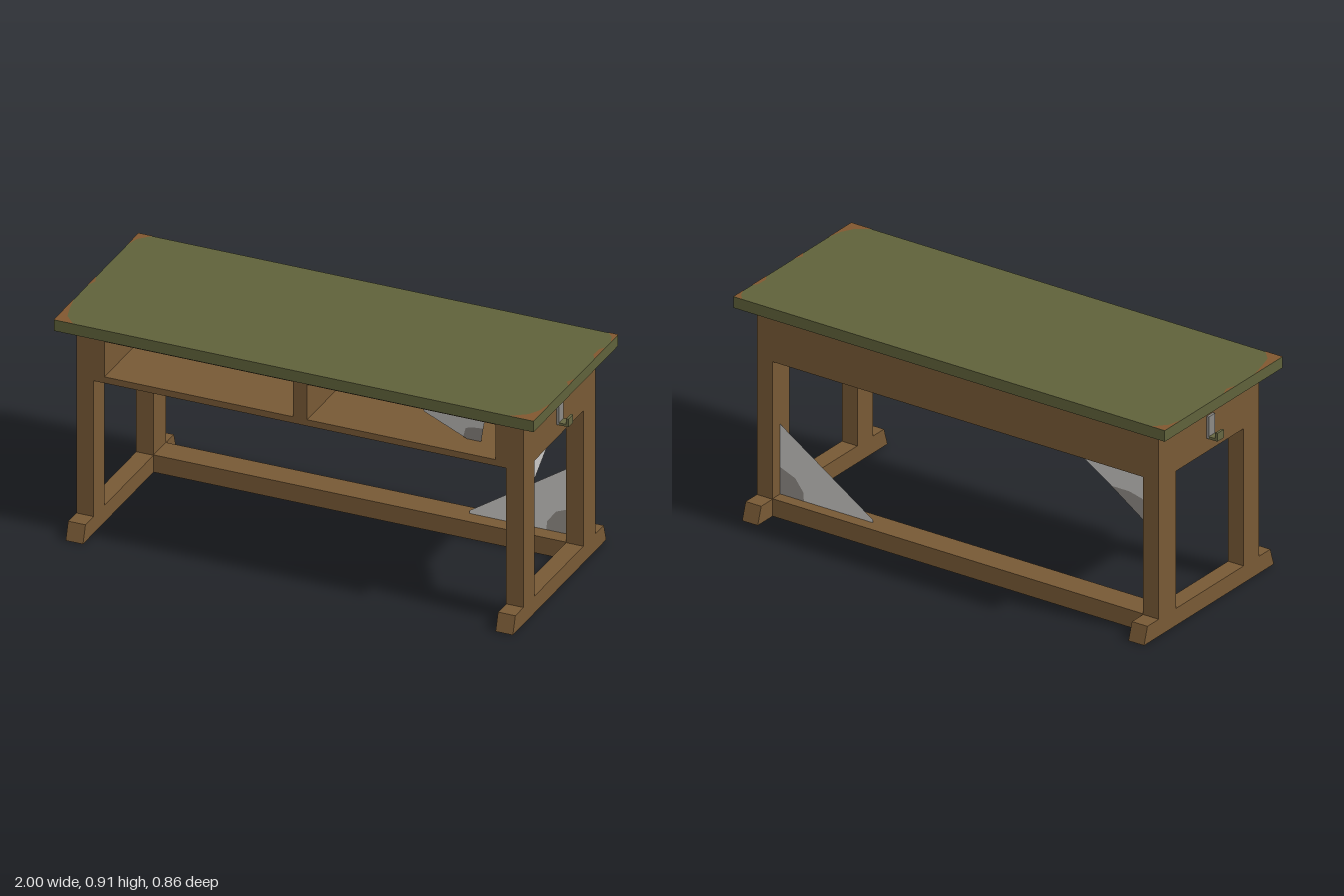
import * as THREE from 'three';

const mat = (name, color, side = THREE.FrontSide) => {
  const m = new THREE.MeshStandardMaterial({ color, side });
  m.name = name;
  return m;
};

export function createModel() {
  const desk = new THREE.Group();
  desk.name = 'schoolDesk';
  const wood = mat('brownWood', 0x775935, THREE.DoubleSide);
  const green = mat('olivePaint', 0x5f613a);
  const worn = mat('wornCorner', 0x80572f, THREE.DoubleSide);
  const metal = mat('greyMetal', 0x8b8985);
  const tarnish = mat('tarnishedMetal', 0x666642);
  const webLight = mat('paleWeb', 0xc9c7c4, THREE.DoubleSide);
  const webDark = mat('denseWeb', 0x918c87, THREE.DoubleSide);

  const add = (name, geometry, material, parent = desk) => {
    const m = new THREE.Mesh(geometry, material);
    m.name = name;
    parent.add(m);
    return m;
  };
  // box from its minimum and maximum corners
  const box = (x0, x1, y0, y1, z0, z1) =>
    new THREE.BoxGeometry(x1 - x0, y1 - y0, z1 - z0)
      .translate((x0 + x1) / 2, (y0 + y1) / 2, (z0 + z1) / 2);
  const poly = (pts) => new THREE.Shape(pts.map(([a, b]) => new THREE.Vector2(a, b)));
  const rect = (a0, a1, b0, b1) => poly([[a0, b0], [a1, b0], [a1, b1], [a0, b1]]);
  // remove the faces lying on the floor, leaving the part open below
  const openBottom = (geometry) => {
    const g = geometry.index ? geometry.toNonIndexed() : geometry;
    const p = g.attributes.position, kept = [];
    for (let i = 0; i < p.count; i += 3) {
      if (Math.max(p.getY(i), p.getY(i + 1), p.getY(i + 2)) < 0.001) continue;
      for (let k = i; k < i + 3; k++) kept.push(p.getX(k), p.getY(k), p.getZ(k));
    }
    const out = new THREE.BufferGeometry();
    out.setAttribute('position', new THREE.Float32BufferAttribute(kept, 3));
    out.computeVertexNormals();
    return out;
  };

  // table top
  add('tableTop', box(-1, 1, 0.865, 0.912, -0.388, 0.388), green);

  // worn paint on the corners and ends of the top, drawn in x and z
  const patches = [
    [[-1, 0.388], [-1, 0.2], [-0.985, 0.27], [-0.965, 0.34], [-0.92, 0.388]],
    [[1, 0.388], [1, 0.23], [0.985, 0.3], [0.96, 0.345], [0.9, 0.388]],
    [[-1, -0.388], [-1, -0.28], [-0.985, -0.34], [-0.94, -0.388]],
    [[1, -0.388], [1, -0.32], [0.985, -0.36], [0.96, -0.388]],
    [[1, -0.27], [1, -0.17], [0.982, -0.2], [0.985, -0.25]],
    [[1, 0.01], [1, 0.07], [0.982, 0.045]],
    [[-1, 0], [-1, 0.08], [-0.985, 0.04]],
  ];
  for (const p of patches) {
    add('wornPatch', new THREE.ShapeGeometry(poly(p)).rotateX(Math.PI / 2).translate(0, 0.9135, 0), worn);
  }

  // end frames: two legs, an upper panel and a splayed foot in one outline
  const end = poly([
    [-0.428, 0], [0.428, 0], [0.405, 0.072], [0.331, 0.072], [0.331, 0.865],
    [-0.331, 0.865], [-0.331, 0.072], [-0.405, 0.072],
  ]);
  end.holes.push(rect(-0.218, 0.229, 0.072, 0.653));
  const frame = openBottom(new THREE.ExtrudeGeometry(end, { depth: 0.072, bevelEnabled: false })
    .rotateY(-Math.PI / 2));
  add('leftEndFrame', frame, wood).position.x = 0.932;
  add('rightEndFrame', frame, wood).position.x = -0.86;

  // open compartments under the top
  const front = rect(-0.86, 0.86, 0.653, 0.865);
  front.holes.push(rect(-0.815, -0.03, 0.68, 0.83), rect(0.03, 0.815, 0.68, 0.83));
  add('bookCompartments', new THREE.ExtrudeGeometry(front, { depth: 0.64, bevelEnabled: false })
    .translate(0, 0, -0.31), wood);
  add('backPanel', box(-0.86, 0.86, 0.653, 0.865, -0.33, -0.31), wood);

  // rear foot rail
  add('footRail', openBottom(box(-0.86, 0.86, 0, 0.074, -0.33, -0.218)), wood);

  // bag hooks on both ends
  for (const s of [1, -1]) {
    const hook = new THREE.Group();
    hook.name = s > 0 ? 'leftHook' : 'rightHook';
    const bar = (name, x0, x1, y0, y1, m) =>
      add(name, box(Math.min(s * x0, s * x1), Math.max(s * x0, s * x1), y0, y1, -0.015, 0.027), m, hook);
    bar('hookPlate', 0.932, 0.942, 0.71, 0.803, metal);
    bar('hookArm', 0.942, 0.982, 0.71, 0.72, tarnish);
    bar('hookLip', 0.972, 0.982, 0.72, 0.745, tarnish);
    desk.add(hook);
  }

  // cobwebs: a pale sheet and a denser patch side by side
  const web = (name, pale, dense, place) => {
    const g = new THREE.Group();
    g.name = name;
    add('paleSheet', place(new THREE.ShapeGeometry(poly(pale))), webLight, g);
    add('denseSheet', place(new THREE.ShapeGeometry(poly(dense))), webDark, g);
    desk.add(g);
  };
  const arcA = [[-0.86, 0.465], [-0.81, 0.52], [-0.75, 0.535], [-0.665, 0.535]];
  web('upperBackWeb', [[-0.86, 0.653], ...arcA, [-0.48, 0.653]],
    [...arcA, [-0.86, 0.4]], (g) => g.translate(0, 0, -0.265));
  const arcB = [[0.75, 0.074], [0.752, 0.11], [0.79, 0.16], [0.86, 0.188]];
  web('lowerBackWeb', [[0.43, 0.074], ...arcB, [0.86, 0.37], [0.43, 0.087]],
    [...arcB, [0.86, 0.074]], (g) => g.translate(0, 0, -0.28));
  const arcC = [[0.229, 0.565], [0.175, 0.565], [0.17, 0.54], [0.175, 0.508]];
  web('endWeb', [[0.229, 0.653], ...arcC, [-0.025, 0.653]],
    [...arcC, [0.229, 0.468]], (g) => g.rotateY(-Math.PI / 2).translate(0.895, 0, 0));
  const arcD = [[0.633, 0.69], [0.66, 0.75], [0.70, 0.763], [0.738, 0.768]];
  web('compartmentWeb', [[0.5, 0.83], [0.5, 0.8], ...arcD, [0.762, 0.83]],
    [...arcD, [0.705, 0.68], [0.645, 0.68]], (g) => {
      const p = g.attributes.position; // lean the lower edge inwards
      for (let i = 0; i < p.count; i++) p.setZ(i, 0.31 - (0.83 - p.getY(i)) * 0.6);
      g.computeVertexNormals();
      return g;
    });

  return desk;
}
